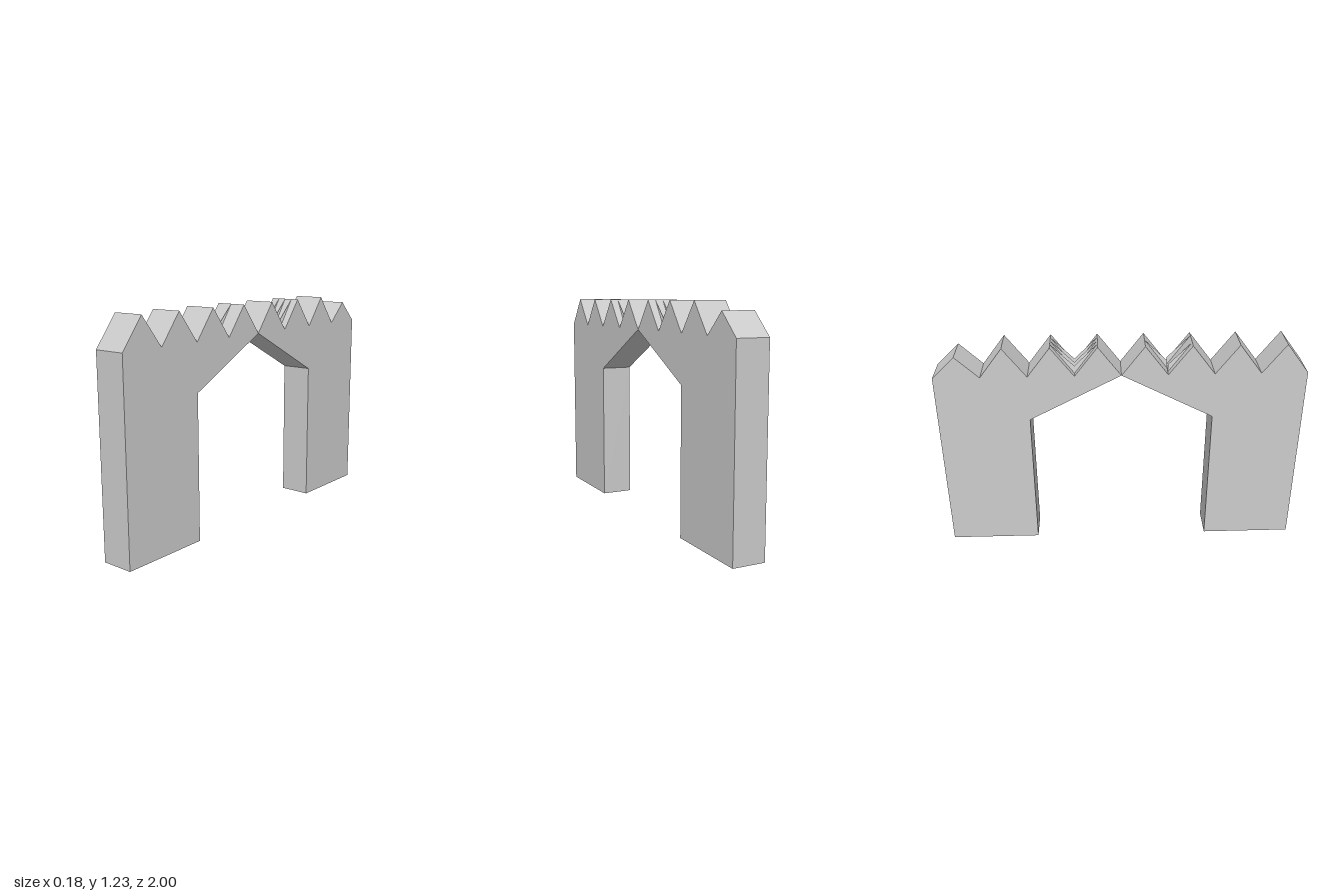
import * as THREE from 'three';

const WIDTH = 0.18, VALLEY = 1.06, PEAK = 1.225, STEP = 0.25;

export function createModel() {
  const group = new THREE.Group();
  const material = new THREE.MeshStandardMaterial({ color: 0xcccccc, flatShading: true });

  // One half of the arch: leg, sloping underside and four teeth; side is +1 (front) or -1 (back)
  function archHalf(name, side, lastPeak) {
    const points = [[0, VALLEY], [0.5, 0.8], [0.5, 0], [1, 0], [1, VALLEY]];
    for (let i = 3; i >= 0; i--) {
      points.push([(i + 0.5) * STEP, i === 3 ? lastPeak : PEAK]);
      if (i > 0) points.push([i * STEP, VALLEY]);
    }
    const shape = new THREE.Shape(points.map(([z, y]) => new THREE.Vector2(z * side, y)));
    const geometry = new THREE.ExtrudeGeometry(shape, { depth: WIDTH, bevelEnabled: false });
    geometry.translate(0, 0, -WIDTH / 2).rotateY(-Math.PI / 2);
    const mesh = new THREE.Mesh(geometry, material);
    mesh.name = name;
    group.add(mesh);
  }
  archHalf('frontArchHalf', 1, PEAK);
  archHalf('backArchHalf', -1, 1.18);

  // Sliver-like ridge rising out of a notch and tapering to the neighbouring peak
  const finMaterial = material.clone();
  finMaterial.side = THREE.DoubleSide;
  function notchFin(x, z, direction) {
    const w = 0.008;
    const peak = [x, PEAK, z + direction * STEP / 2], tip = [x, 1.1, z];
    const left = [x - w, VALLEY, z], right = [x + w, VALLEY, z];
    const faces = [peak, left, tip, peak, tip, right, left, right, tip];
    const geometry = new THREE.BufferGeometry();
    geometry.setAttribute('position', new THREE.Float32BufferAttribute(faces.flat(), 3));
    geometry.computeVertexNormals();
    const mesh = new THREE.Mesh(geometry, finMaterial);
    mesh.name = 'notchFin';
    group.add(mesh);
  }
  for (const x of [-0.045, 0, 0.045]) {
    notchFin(x, -STEP, 1);
    notchFin(x, -STEP, -1);
    notchFin(x, STEP, x === 0 ? -1 : 1);
  }
  return group;
}
